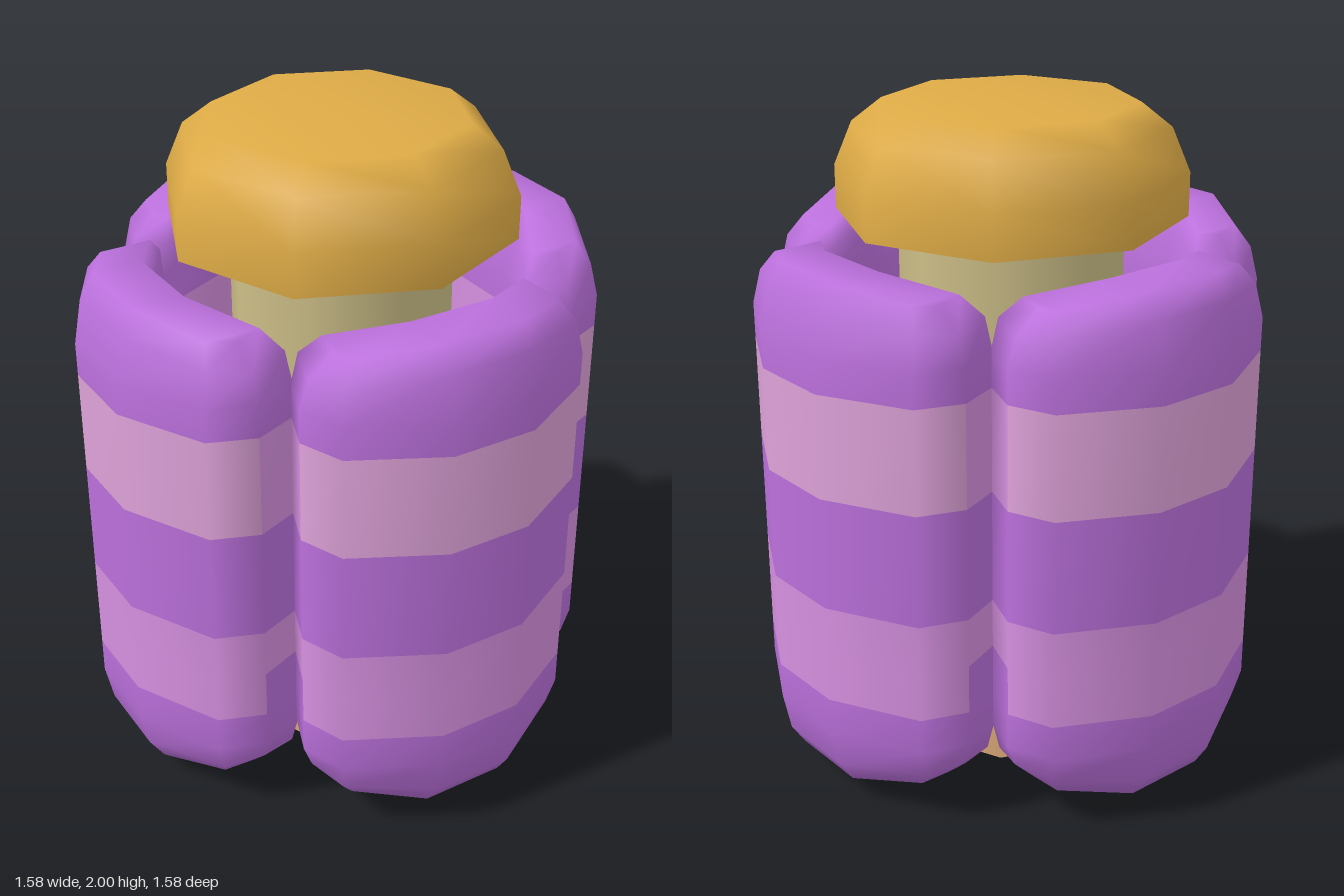
import * as THREE from 'three';

const paint = (name, color) => {
  const m = new THREE.MeshStandardMaterial({ color });
  m.name = name;
  return m;
};

// Half outlines [x, z, drop]: outer middle, outer end, tip, inner end, inner middle
const FULL = [[0.13, 0.79, 0], [0.39, 0.655, 0], [0.442, 0.52, 0], [0.39, 0.385, 0], [0.13, 0.51, 0]];
const BEVEL = [[0.13, 0.765, 0], [0.375, 0.635, 0.03], [0.415, 0.52, 0.05], [0.375, 0.4, 0.03], [0.13, 0.535, 0]];
const FACE = [[0.13, 0.72, 0], [0.33, 0.61, 0.04], [0.345, 0.53, 0.05], [0.33, 0.45, 0.04], [0.13, 0.57, 0]];

// Curved rounded pad built from stacked rings; groups: 0 body, 1 upper stripe, 2 lower stripe
function padGeometry() {
  const levels = [
    [0.08, FACE], [0.15, BEVEL], [0.27, FULL], [0.38, FULL], [0.53, FULL], [0.68, FULL],
    [1.02, FULL], [1.33, FULL], [1.43, FULL], [1.56, BEVEL], [1.63, FACE],
  ];
  const positions = [];
  levels.forEach(([y, half]) => {
    const mirrored = half.map(([x, z, d]) => [-x, z, d]).reverse();
    for (const [x, z, d] of [...half, ...mirrored]) positions.push(x, y > 0.85 ? y - d : y + d, z);
  });

  const n = 10;
  const faces = [[], [], []];
  for (let l = 0; l < levels.length - 1; l++) {
    for (let i = 0; i < n; i++) {
      const inner = i >= 2 && i <= 6;
      let slot = 0;
      if (l === 6) slot = inner ? 2 : 1;
      if (l === 4 || (l === 3 && !inner)) slot = 2;
      const a = l * n + i, b = l * n + (i + 1) % n;
      faces[slot].push(a, b, b + n, a, b + n, a + n);
    }
  }
  // Top and bottom closing faces
  const top = (levels.length - 1) * n;
  for (const [a, b, c] of [[1, 2, 3], [0, 1, 3], [0, 3, 4], [9, 0, 4], [9, 4, 5], [8, 9, 5], [8, 5, 6], [8, 6, 7]]) {
    faces[0].push(top + a, top + b, top + c, a, c, b);
  }

  const geo = new THREE.BufferGeometry();
  geo.setAttribute('position', new THREE.Float32BufferAttribute(positions, 3));
  geo.setIndex(faces.flat());
  let start = 0;
  faces.forEach((f, slot) => {
    geo.addGroup(start, f.length, slot);
    start += f.length;
  });
  geo.computeVertexNormals();
  return geo;
}

export function createModel() {
  const model = new THREE.Group();
  const purple = paint('purple', 0xbb70dc);
  const dustyPink = paint('dusty pink', 0xdea2d9);
  const orchid = paint('orchid', 0xd690e0);
  const gold = paint('gold', 0xdeab46);
  const tan = paint('tan', 0xdfad7c);
  const khaki = paint('khaki', 0xcdbf88);

  const add = (name, geo, mat, y = 0) => {
    const mesh = new THREE.Mesh(geo, mat);
    mesh.name = name;
    mesh.position.y = y;
    model.add(mesh);
    return mesh;
  };

  // Octagonal core in two colours
  add('lowerCore', new THREE.CylinderGeometry(0.335, 0.335, 0.85, 8), tan, 0.425);
  add('upperCore', new THREE.CylinderGeometry(0.335, 0.335, 0.83, 8), khaki, 1.265);

  // Domed octagonal cap with a flat underside
  const profile = [[0.52, 1.67], [0.52, 1.8], [0.465, 1.93], [0.375, 2], [0, 2]];
  add('cap', new THREE.LatheGeometry(profile.map(([r, y]) => new THREE.Vector2(r, y)), 8), gold);
  add('capUnderside', new THREE.CircleGeometry(0.52, 8).rotateX(Math.PI / 2), gold, 1.67);

  // Four striped pads around the core
  const pad = padGeometry();
  ['frontPad', 'leftPad', 'backPad', 'rightPad'].forEach((name, i) => {
    add(name, pad, [purple, dustyPink, orchid]).rotation.y = i * Math.PI / 2;
  });
  return model;
}
